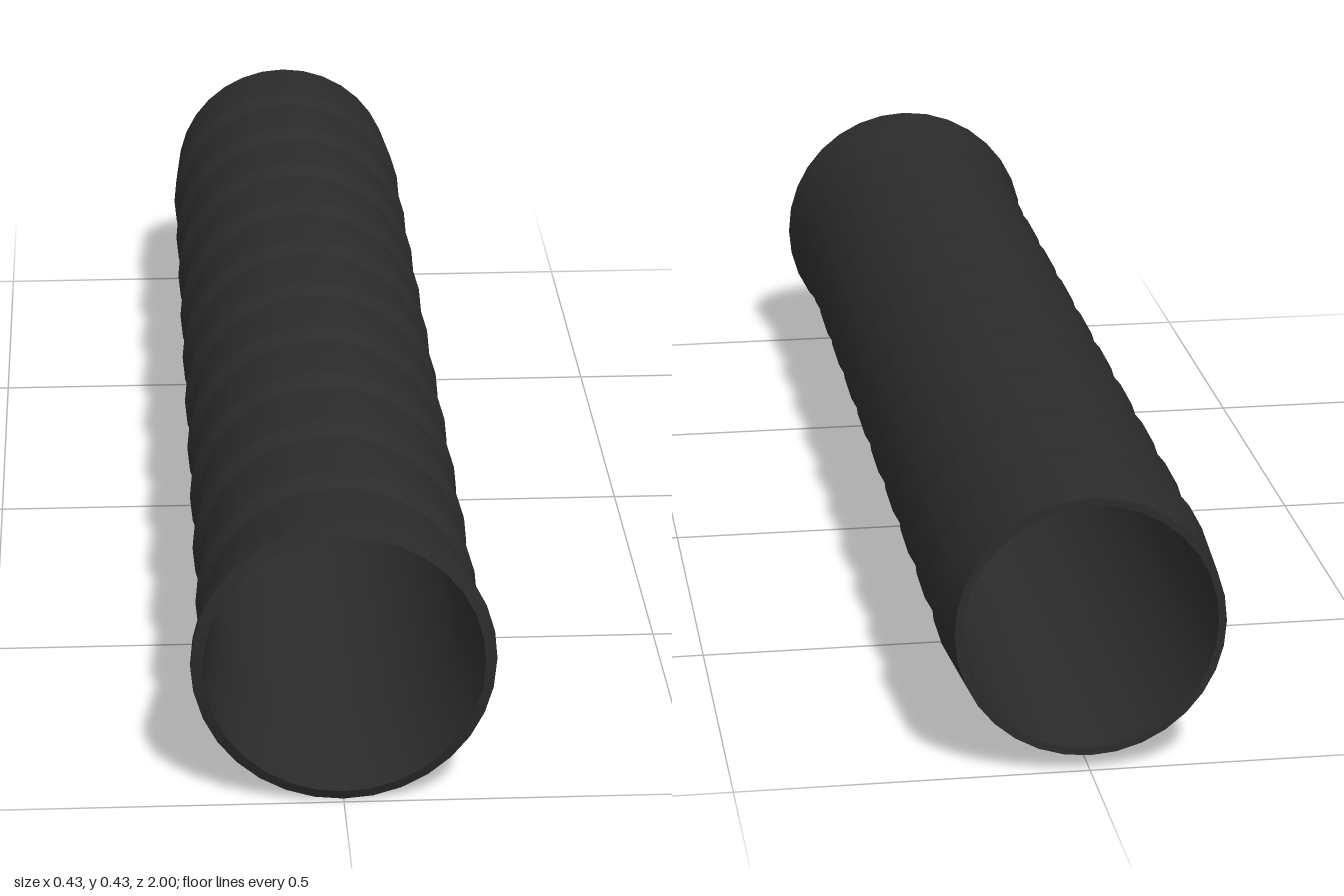
import * as THREE from 'three';
import { toCreasedNormals } from 'three/addons/utils/BufferGeometryUtils.js';

export function createModel() {
  const group = new THREE.Group();
  group.name = 'ribbedGrip';

  const material = new THREE.MeshStandardMaterial({ color: 0x2b2b2b });
  const ribs = 10, pitch = 0.181, valley = 0.191, crest = 0.202;

  // Outer profile, back to front: each rib widens slowly, then steps back in
  const profile = [[0.18, -1], [valley, -1]];
  for (let i = 0; i < ribs; i++) {
    const step = -0.82 + i * pitch;
    profile.push([crest, step - 0.018], [crest - 0.002, step - 0.008], [valley, step + 0.015]);
  }

  // Flared front end with a bevelled lip, then the bore back to the rear
  profile.push([0.214, 0.985], [0.213, 0.992], [0.197, 1], [0.18, 0.82], [0.18, -1]);

  const points = profile.map(([r, z]) => new THREE.Vector2(r, z));
  const geometry = new THREE.LatheGeometry(points, 32);
  geometry.rotateX(Math.PI / 2);

  const sleeve = new THREE.Mesh(toCreasedNormals(geometry, 0.3), material);
  sleeve.name = 'ribbedSleeve';
  sleeve.position.y = 0.214;
  group.add(sleeve);
  return group;
}
